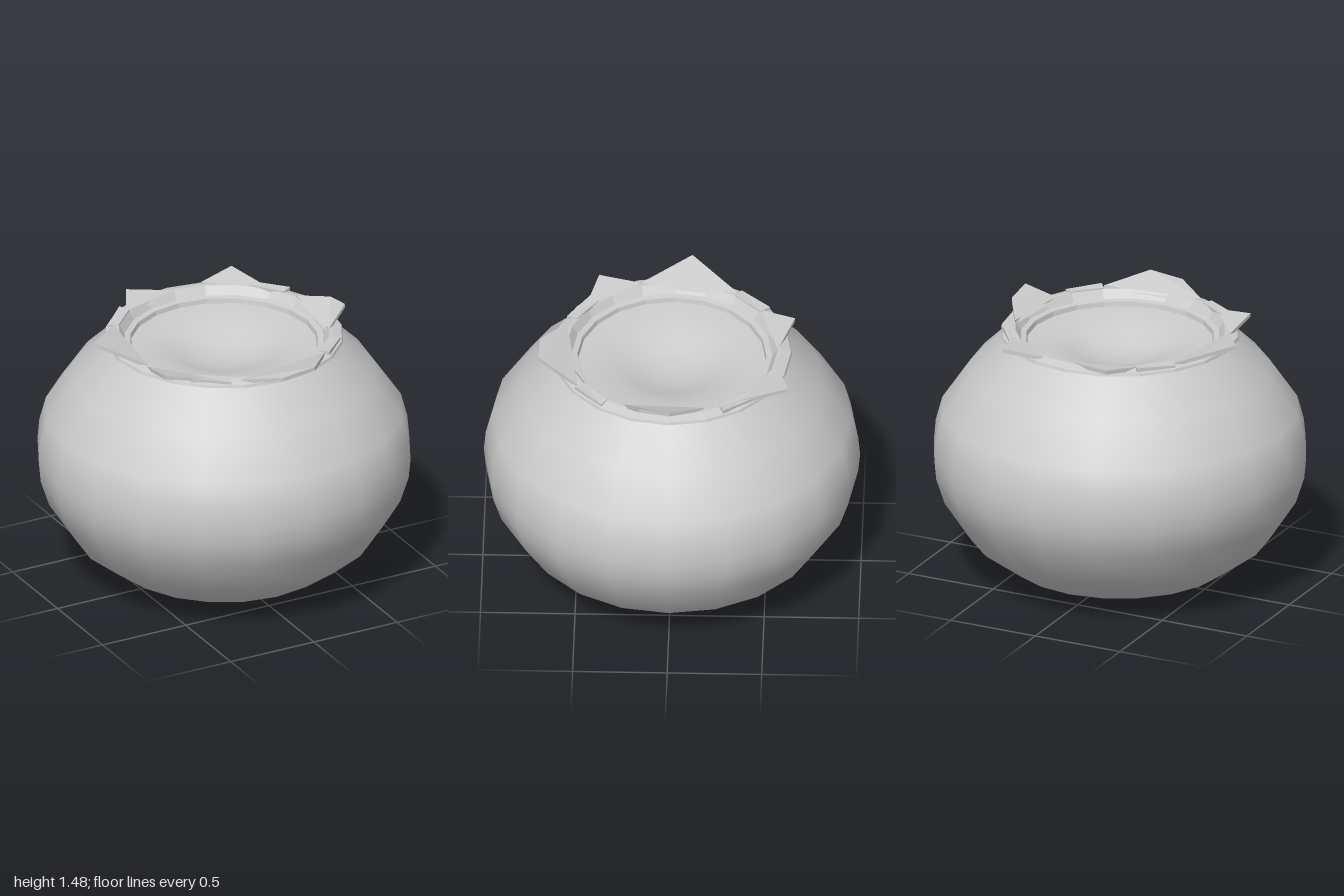
import * as THREE from 'three';

const SIDES = 20;

const material = (flatShading) => new THREE.MeshStandardMaterial({
  color: 0xcccccc, flatShading, side: THREE.DoubleSide,
});

// Turned part from [radius, height] pairs
function turned(name, profile, flat) {
  const points = profile.map(([r, y]) => new THREE.Vector2(r, y));
  const mesh = new THREE.Mesh(new THREE.LatheGeometry(points, SIDES), material(flat));
  mesh.name = name;
  return mesh;
}

// Thin closed slab from a convex loop of [x, y, z] corners
function shard(name, corners, thickness = 0.022) {
  const n = corners.length;
  const position = [];
  const top = (i) => corners[i % n];
  const under = (i) => [top(i)[0], top(i)[1] - thickness, top(i)[2]];
  for (let i = 1; i < n - 1; i++) {
    position.push(...top(0), ...top(i), ...top(i + 1));
    position.push(...under(0), ...under(i + 1), ...under(i));
  }
  for (let i = 0; i < n; i++) {
    position.push(...top(i), ...under(i), ...under(i + 1));
    position.push(...top(i), ...under(i + 1), ...top(i + 1));
  }
  const geometry = new THREE.BufferGeometry();
  geometry.setAttribute('position', new THREE.Float32BufferAttribute(position, 3));
  geometry.computeVertexNormals();
  const mesh = new THREE.Mesh(geometry, material(true));
  mesh.name = name;
  return mesh;
}

export function createModel() {
  const model = new THREE.Group();
  model.name = 'pot';

  // Rounded belly
  model.add(turned('body', [
    [0, 0.0], [0.3, 0.018], [0.45, 0.042], [0.59, 0.09], [0.8, 0.245], [0.94, 0.46],
    [0.985, 0.6], [0.995, 0.71], [0.985, 0.82], [0.95, 0.95], [0.8, 1.17], [0.6, 1.365],
  ], false));

  // Flared lip, stepping down inside to a ledge
  model.add(turned('lip', [
    [0.59, 1.365], [0.635, 1.37], [0.63, 1.385], [0.58, 1.4], [0.56, 1.4],
    [0.53, 1.355], [0.5, 1.35], [0.495, 1.325],
  ], true));

  // Shallow dimpled filling
  model.add(turned('filling', [
    [0.495, 1.325], [0.42, 1.318], [0.33, 1.305], [0.25, 1.28],
    [0.17, 1.25], [0.09, 1.235], [0, 1.23],
  ], false));

  // Torn, upturned pieces around the opening, each wound anticlockwise from above
  const shards = {
    frontShard: [[-0.2, 1.4, 0.56], [-0.02, 1.43, 0.7], [0.17, 1.45, 0.7], [0.34, 1.405, 0.49], [0.1, 1.4, 0.56]],
    rightFrontShard: [[-0.56, 1.4, 0.18], [-0.57, 1.44, 0.4], [-0.33, 1.4, 0.47], [-0.47, 1.4, 0.31]],
    rightShard: [[-0.48, 1.4, -0.34], [-0.73, 1.46, -0.09], [-0.55, 1.405, 0.18], [-0.56, 1.4, -0.08]],
    rightBackShard: [[0, 1.4, -0.56], [-0.24, 1.425, -0.645], [-0.34, 1.4, -0.46], [-0.17, 1.4, -0.54]],
    leftBackShard: [[0.46, 1.4, -0.34], [0.38, 1.43, -0.62], [0.17, 1.405, -0.57], [0.33, 1.4, -0.46]],
    leftShard: [[0.5, 1.4, 0.24], [0.64, 1.48, 0.16], [0.64, 1.455, 0], [0.53, 1.41, -0.18], [0.56, 1.4, 0.02]],
  };
  for (const [name, corners] of Object.entries(shards)) model.add(shard(name, corners));

  // Low flakes lying on the lip between the upturned pieces
  const flakes = [[0.62, 0.95], [2.05, 2.4], [3.75, 4.1], [5.5, 5.85]];
  flakes.forEach(([from, to], i) => {
    const at = (angle, r, y) => [r * Math.sin(angle), y, r * Math.cos(angle)];
    model.add(shard('flake' + (i + 1), [
      at(from, 0.56, 1.405), at(from, 0.62, 1.41), at(to, 0.62, 1.4), at(to, 0.56, 1.405),
    ]));
  });

  return model;
}
